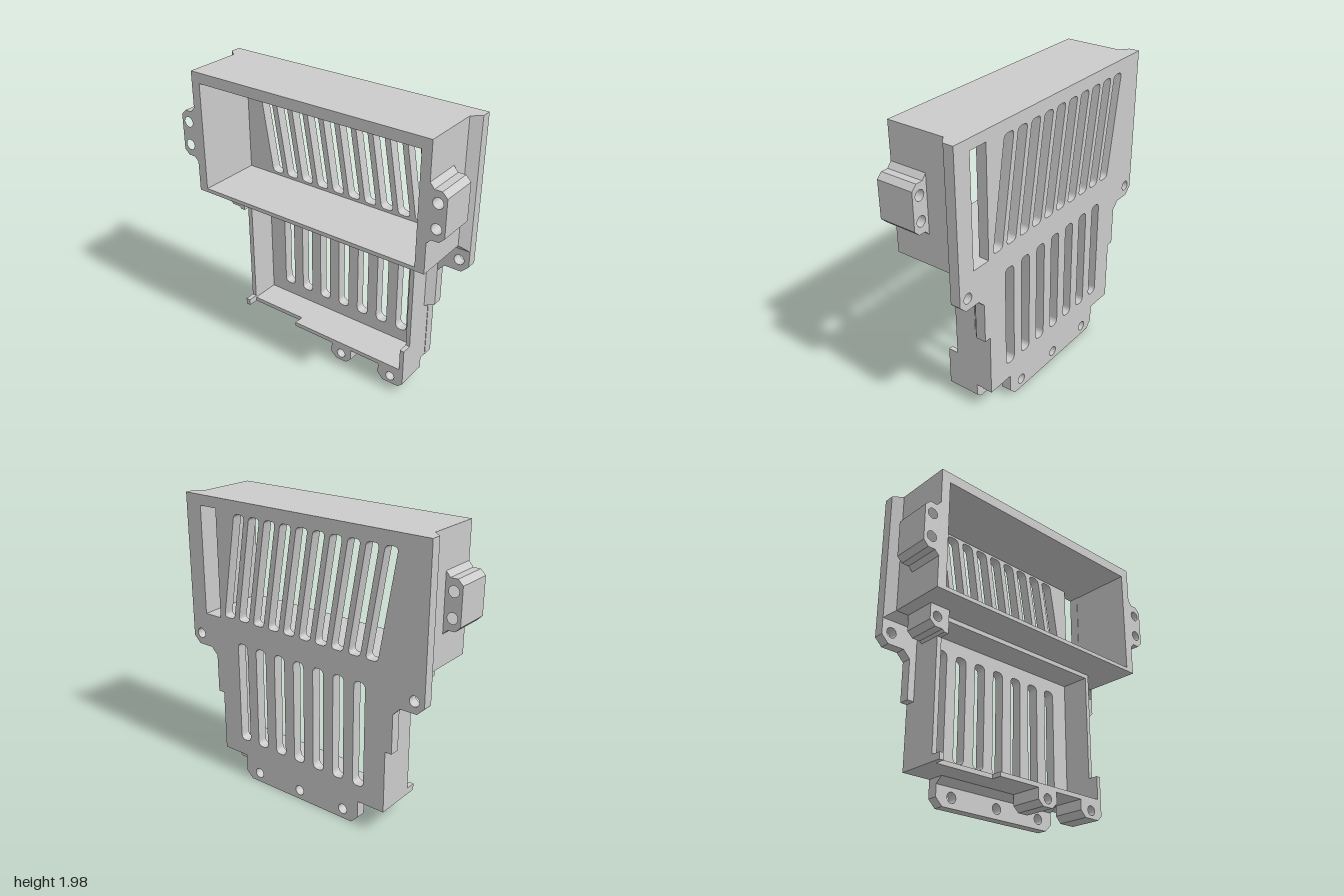
import * as THREE from 'three';
import { ConvexGeometry } from 'three/addons/geometries/ConvexGeometry.js';
import { toCreasedNormals } from 'three/addons/utils/BufferGeometryUtils.js';

const material = new THREE.MeshStandardMaterial({ color: 0xcccccc });
const BACK = -0.26, FLOOR = -0.19, STEP = -0.14, RIM = 0.015, TALL = 0.085, FRONT = 0.26;

export function createModel() {
  const model = new THREE.Group();

  const add = (name, geometry) => {
    const mesh = new THREE.Mesh(geometry, material);
    mesh.name = name;
    model.add(mesh);
  };

  // Straight extrusion of an outline between two depths
  const slab = (name, points, holes, z0, z1) => {
    const shape = new THREE.Shape(points.map(([x, y]) => new THREE.Vector2(x, y)));
    shape.holes.push(...holes);
    const geometry = new THREE.ExtrudeGeometry(shape, { depth: z1 - z0, bevelEnabled: false, curveSegments: 8 });
    geometry.translate(0, 0, z0);
    add(name, toCreasedNormals(geometry, 0.6));
  };
  const wedge = (name, points) =>
    add(name, new ConvexGeometry(points.map((p) => new THREE.Vector3(...p))));

  const rect = (x0, y0, x1, y1) => [[x0, y0], [x1, y0], [x1, y1], [x0, y1]];
  const rectHole = (...r) => new THREE.Path(rect(...r).map(([x, y]) => new THREE.Vector2(x, y)));
  const roundHole = (x, y, r = 0.035) => new THREE.Path().absarc(x, y, r, 0, Math.PI * 2, true);

  // Slot with rounded corners, leaning by the shift between bottom and top
  const slot = (xBottom, y0, xTop, y1, w, r) => {
    const c = [[xBottom - w / 2, y0], [xBottom + w / 2, y0], [xTop + w / 2, y1], [xTop - w / 2, y1]]
      .map(([x, y]) => new THREE.Vector2(x, y));
    const path = new THREE.Path();
    c.forEach((p, i) => {
      const toward = (q) => q.clone().sub(p).setLength(r).add(p);
      const a = toward(c[(i + 3) % 4]), b = toward(c[(i + 1) % 4]);
      if (i === 0) path.moveTo(a.x, a.y);
      else path.lineTo(a.x, a.y);
      path.quadraticCurveTo(p.x, p.y, b.x, b.y);
    });
    path.closePath();
    return path;
  };

  // Back plate with vents, window and screw holes
  const half = [[0.435, 0], [0.485, 0.05], [0.485, 0.17], [0.683, 0.17], [0.683, 0.6], [0.73, 0.6],
    [0.73, 0.87], [0.78, 0.92], [0.895, 0.92], [0.945, 0.97], [0.945, 1.975]];
  const outline = [...half, ...half.map(([x, y]) => [-x, y]).reverse()];
  const openings = [rectHole(0.68, 1.157, 0.817, 1.903)];
  for (let i = 0; i < 10; i++) {
    const x = -0.687 + i * 0.129;
    openings.push(slot(x + 0.12, 1.175, x, 1.89, 0.088, 0.032));
  }
  for (let i = -3; i <= 3; i++) openings.push(slot(i * 0.161, 0.288, i * 0.161, 1.012, 0.084, 0.038));
  for (const x of [-0.365, 0, 0.365]) openings.push(roundHole(x, 0.067));
  for (const x of [-0.875, 0.875]) openings.push(roundHole(x, 1.0));
  slab('backPlate', outline, openings, BACK, FLOOR);

  // Upper and lower box walls
  slab('upperFrame', rect(-0.885, 1.13, 0.885, 1.975), [rectHole(-0.82, 1.157, 0.82, 1.903)], FLOOR, FRONT);
  slab('lowerFrame', rect(-0.683, 0.17, 0.68, 1.13), [rectHole(-0.65, 0.2, 0.65, 1.1)], FLOOR, RIM);

  // Raised parts of the lower rim
  slab('raisedRim', [[-0.22, 0.17], [0.68, 0.17], [0.68, 0.36], [0.65, 0.36], [0.65, 0.2], [-0.22, 0.2]],
    [], RIM, TALL);
  slab('cornerNub', rect(-0.683, 0.17, -0.65, 0.215), [], RIM, TALL);

  // Sloped fillets between the walls and the back plate
  for (const s of [-1, 1]) {
    wedge('upperSideFillet', [
      [s * 0.885, 1.13, STEP], [s * 0.885, 1.975, STEP], [s * 0.945, 1.08, FLOOR], [s * 0.945, 1.975, FLOOR],
      [s * 0.885, 1.08, FLOOR], [s * 0.885, 1.975, FLOOR]]);
    wedge('upperBottomFillet', [
      [s * 0.68, 1.13, STEP], [s * 0.885, 1.13, STEP], [s * 0.68, 1.13, FLOOR], [s * 0.885, 1.13, FLOOR],
      [s * 0.68, 1.08, FLOOR], [s * 0.885, 1.08, FLOOR]]);
  }
  wedge('lowerSideFillet', [0.6, 1.13].flatMap((y) => [[0.68, y, STEP], [0.73, y, FLOOR], [0.68, y, FLOOR]]));
  wedge('lowerBottomFillet',
    [-0.485, 0.485].flatMap((x) => [[x, 0.17, STEP], [x, 0.13, FLOOR], [x, 0.17, FLOOR]]));

  // Side lugs with through holes
  const lug = [[0.885, 1.34], [0.915, 1.37], [0.965, 1.37], [1, 1.405], [1, 1.655], [0.965, 1.69],
    [0.915, 1.69], [0.885, 1.725]];
  for (const s of [-1, 1]) {
    slab('sideLug', lug.map(([x, y]) => [s * x, y]),
      [roundHole(s * 0.943, 1.612), roundHole(s * 0.943, 1.45)], 0, FRONT);
  }

  // Screw bosses with blind holes around the lower box
  const boss = (name, points, x, y) => {
    slab(name, points, [roundHole(x, y, 0.033)], -0.06, TALL);
    slab(name + 'Base', points, [], STEP, -0.06);
  };
  boss('topBoss', [[-0.795, 1.13], [-0.795, 1.02], [-0.755, 0.985], [-0.7, 0.985], [-0.683, 0.97],
    [-0.652, 0.97], [-0.652, 1.13]], -0.74, 1.056);
  boss('middleBoss', [[0.1, 0.17], [0.1, 0.095], [0.14, 0.057], [0.22, 0.057], [0.26, 0.095], [0.26, 0.17]],
    0.18, 0.112);
  boss('cornerBoss', [[0.485, 0.17], [0.485, 0.1], [0.525, 0.057], [0.645, 0.057], [0.68, 0.09], [0.68, 0.17]],
    0.582, 0.112);

  return model;
}
